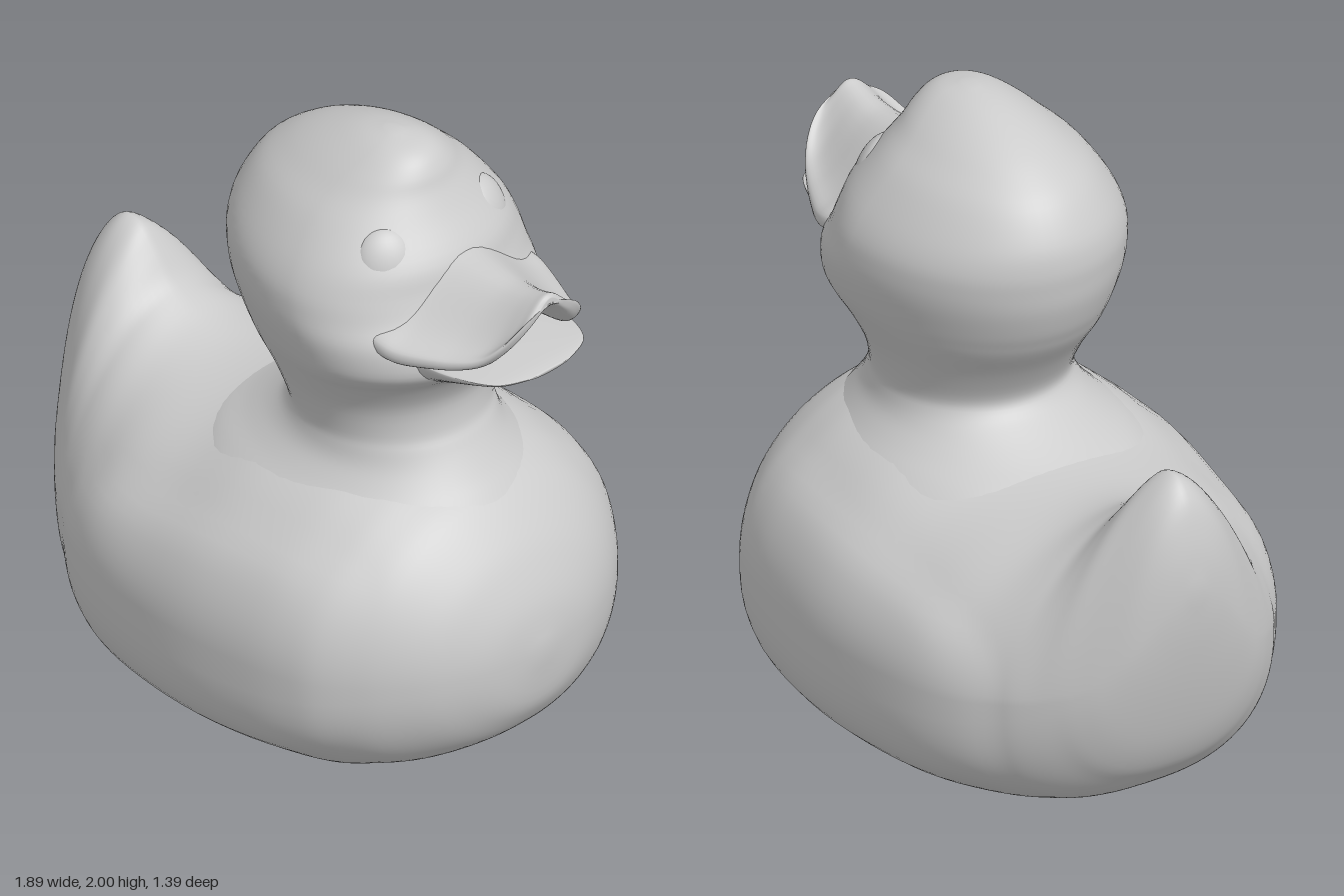
import * as THREE from 'three';

const material = new THREE.MeshStandardMaterial({ color: 0xcccccc, side: THREE.DoubleSide });
const { smoothstep, lerp } = THREE.MathUtils;

// Signed power, for superellipse sections
const spow = (v, p) => Math.sign(v) * Math.pow(Math.abs(v), p);

// Catmull-Rom blend through rows of numbers
function sampleRows(rows, t) {
  const i = Math.min(Math.floor(t), rows.length - 2), f = t - i;
  const at = k => rows[Math.max(0, Math.min(rows.length - 1, k))];
  return rows[i].map((_, c) => {
    const p0 = at(i - 1)[c], p1 = at(i)[c], p2 = at(i + 1)[c], p3 = at(i + 2)[c];
    return p1 + 0.5 * f * (p2 - p0 + f * (2 * p0 - 5 * p1 + 4 * p2 - p3 + f * (3 * (p1 - p2) + p3 - p0)));
  });
}

// Smooth closed skin over rings; ring(row, angle) gives a point
function loft(name, rows, ring, sides = 64, sub = 4) {
  const pos = [], index = [], steps = (rows.length - 1) * sub;
  for (let i = 0; i <= steps; i++) {
    const row = sampleRows(rows, i / sub);
    for (let j = 0; j < sides; j++) pos.push(...ring(row, (j / sides) * Math.PI * 2));
  }
  for (let i = 0; i < steps; i++) {
    for (let j = 0; j < sides; j++) {
      const a = i * sides + j, b = i * sides + (j + 1) % sides;
      index.push(a, a + sides, b, b, a + sides, b + sides);
    }
  }
  // End caps
  for (const [start, last] of [[0, false], [steps * sides, true]]) {
    const c = new THREE.Vector3();
    for (let j = 0; j < sides; j++) c.add(new THREE.Vector3().fromArray(pos, (start + j) * 3));
    c.divideScalar(sides);
    const centre = pos.length / 3;
    pos.push(c.x, c.y, c.z);
    for (let j = 0; j < sides; j++) {
      const a = start + j, b = start + (j + 1) % sides;
      index.push(centre, ...(last ? [b, a] : [a, b]));
    }
  }
  const geo = new THREE.BufferGeometry();
  geo.setAttribute('position', new THREE.Float32BufferAttribute(pos, 3));
  geo.setIndex(index);
  geo.computeVertexNormals();
  const mesh = new THREE.Mesh(geo, material);
  mesh.name = name;
  return mesh;
}

// Body with tail: x, bottom, top, half width, widest height, upper exponent
const bodyRows = [
  [-0.95, 0.82, 0.88, 0.02, 0.85, 2],
  [-0.935, 0.68, 1.0, 0.1, 0.8, 1.9],
  [-0.9, 0.5, 1.12, 0.19, 0.68, 1.7],
  [-0.85, 0.32, 1.18, 0.27, 0.57, 1.55],
  [-0.8, 0.21, 1.19, 0.33, 0.52, 1.5],
  [-0.75, 0.15, 1.17, 0.38, 0.5, 1.5],
  [-0.7, 0.1, 1.11, 0.425, 0.48, 1.5],
  [-0.65, 0.065, 1.04, 0.465, 0.47, 1.55],
  [-0.6, 0.045, 1.0, 0.495, 0.46, 1.65],
  [-0.5, 0.02, 0.95, 0.55, 0.45, 1.8],
  [-0.35, 0.003, 0.93, 0.61, 0.45, 2],
  [-0.15, 0, 0.95, 0.65, 0.45, 2],
  [0.1, 0, 1.02, 0.672, 0.45, 2],
  [0.35, 0, 1.03, 0.657, 0.45, 2],
  [0.5, 0.005, 1.0, 0.627, 0.45, 2],
  [0.6, 0.03, 0.96, 0.59, 0.45, 2],
  [0.7, 0.065, 0.9, 0.525, 0.45, 2],
  [0.8, 0.13, 0.79, 0.41, 0.45, 2],
  [0.86, 0.2, 0.69, 0.3, 0.45, 2],
  [0.9, 0.28, 0.59, 0.18, 0.45, 2],
  [0.92, 0.42, 0.48, 0.03, 0.45, 2],
];

function bodyRing([x, bottom, top, w, mid, nUp], a) {
  const s = Math.sin(a), c = Math.cos(a);
  const n = s > 0 ? nUp : 2 + 1.4 * (1 - x * x) ** 1.5;
  const y = Math.max(0, mid + (s > 0 ? top - mid : mid - bottom) * spow(s, 2 / n));
  let z = w * spow(c, 2 / n);
  // Folded wing: a low raised panel on each flank
  const d = ((x - 0.03) / 0.62) ** 4 + ((y - 0.43 - 0.1 * x) / (0.34 + 0.05 * x)) ** 4;
  z += Math.sign(z) * Math.min(1, Math.abs(z) / 0.2) * 0.024 * (1 - smoothstep(d, 0.3, 1.3));
  return [x, y, z];
}

// Neck, throat and head: y, back x, front x, half width
const headRows = [
  [0.78, -0.34, 0.77, 0.52],
  [0.85, -0.34, 0.74, 0.47],
  [0.9, -0.3, 0.705, 0.415],
  [0.95, -0.2, 0.665, 0.363],
  [1.0, -0.115, 0.63, 0.323],
  [1.05, -0.05, 0.6, 0.305],
  [1.1, -0.035, 0.578, 0.303],
  [1.2, -0.09, 0.58, 0.33],
  [1.3, -0.165, 0.635, 0.375],
  [1.35, -0.195, 0.685, 0.4],
  [1.4, -0.22, 0.715, 0.418],
  [1.48, -0.247, 0.7, 0.434],
  [1.55, -0.258, 0.65, 0.433],
  [1.62, -0.262, 0.62, 0.42],
  [1.7, -0.245, 0.595, 0.38],
  [1.8, -0.185, 0.525, 0.305],
  [1.87, -0.1, 0.482, 0.232],
  [1.92, -0.01, 0.46, 0.177],
  [1.96, 0.09, 0.43, 0.123],
  [1.985, 0.175, 0.385, 0.075],
  [2.0, 0.26, 0.31, 0.02],
];
// Egg-shaped section, widest towards the face
const headRing = ([y, back, front, w], a) => {
  const c = Math.cos(a);
  const widest = lerp(back, front, lerp(0.5, 0.6, smoothstep(y, 1.05, 1.4)));
  return [widest + (c > 0 ? front - widest : widest - back) * c, y, w * Math.sin(a)];
};

// Upper beak, an arched sheet: x, top, droop, half width, thickness
const upperBeakRows = [
  [0.4, 1.7, 0.13, 0.29, 0.12],
  [0.5, 1.725, 0.145, 0.33, 0.14],
  [0.56, 1.715, 0.145, 0.338, 0.14],
  [0.62, 1.7, 0.145, 0.325, 0.13],
  [0.7, 1.687, 0.14, 0.29, 0.11],
  [0.78, 1.68, 0.135, 0.25, 0.09],
  [0.85, 1.688, 0.13, 0.21, 0.07],
  [0.9, 1.7, 0.1, 0.17, 0.055],
  [0.93, 1.71, 0.06, 0.12, 0.045],
  [0.943, 1.7, 0.02, 0.05, 0.015],
];
const upperBeakRing = ([x, top, droop, w, t], a) => {
  const u = Math.cos(a);
  const arch = smoothstep(Math.abs(u), 0.03, 0.88);
  return [x, top - t / 2 - droop * arch + (t / 2) * spow(Math.sin(a), 0.75), w * u];
};

// Lower beak running into the throat: x, top, bottom, half width
const lowerBeakRows = [
  [0.45, 1.47, 1.22, 0.22],
  [0.55, 1.48, 1.23, 0.24],
  [0.6, 1.48, 1.26, 0.25],
  [0.66, 1.48, 1.31, 0.252],
  [0.75, 1.475, 1.362, 0.245],
  [0.85, 1.468, 1.41, 0.215],
  [0.91, 1.462, 1.432, 0.17],
  [0.943, 1.455, 1.443, 0.08],
];
const lowerBeakRing = ([x, top, bottom, w], a) => {
  const s = Math.sin(a), lip = top - 0.2 * (top - bottom);
  return [x, lip + (s > 0 ? top - lip : lip - bottom) * s, w * spow(Math.cos(a), s > 0 ? 1 : 1.3)];
};

export function createModel() {
  const group = new THREE.Group();
  group.name = 'duck';
  group.add(
    loft('bodyAndTail', bodyRows, bodyRing, 80),
    loft('neckAndHead', headRows, headRing),
    loft('upperBeak', upperBeakRows, upperBeakRing),
    loft('lowerBeak', lowerBeakRows, lowerBeakRing),
  );

  // Eyes: soft bulges under the brow
  for (const side of [1, -1]) {
    const eye = new THREE.Mesh(new THREE.SphereGeometry(0.1, 32, 20), material);
    eye.name = side > 0 ? 'leftEye' : 'rightEye';
    eye.scale.set(0.5, 1, 0.9);
    eye.position.set(0.465, 1.715, side * 0.21);
    eye.rotation.set(0, -side * 0.55, 0.4);
    group.add(eye);
  }
  return group;
}
